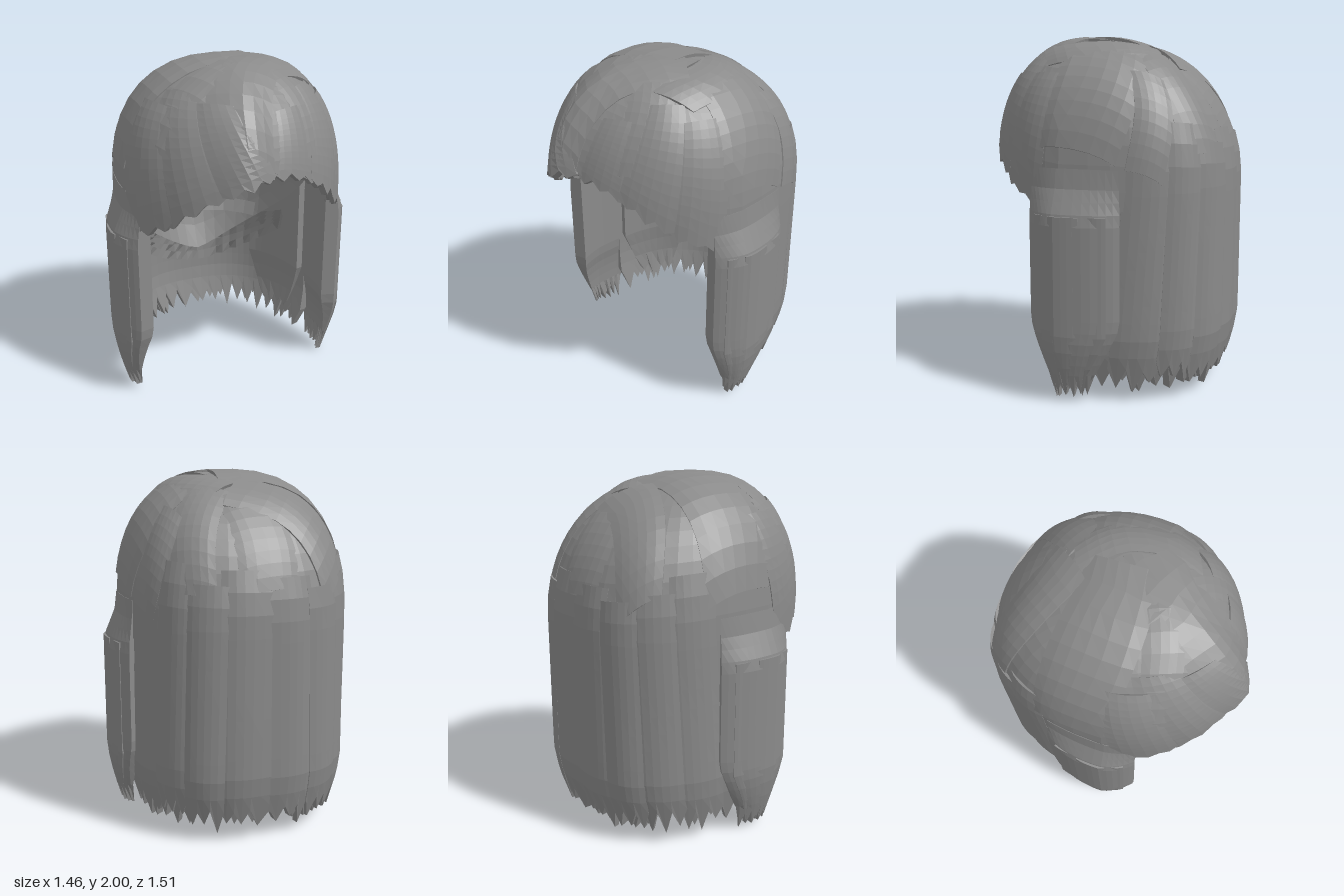
import * as THREE from 'three';

const hairMat = new THREE.MeshStandardMaterial({ color: 0x8a8a8a });
hairMat.name = 'hairGrey';
hairMat.side = THREE.DoubleSide;

const RAD = Math.PI / 180;
let seed = 7;
const rnd = () => (seed = (seed * 16807) % 2147483647) / 2147483647;
const lerp = (a, b, t) => a + (b - a) * t;
const clamp01 = (x) => Math.min(1, Math.max(0, x));

// Hair envelope: a = degrees from the front toward +x, s = 0 crown, 1 temple, 2 floor
function surf(a, s, off) {
  let c = Math.cos(a * RAD), sn = Math.sin(a * RAD);
  const t = Math.min(s, 1) * Math.PI / 2;
  const e = c > 0 ? 0.8 + 0.04 * c : 0.8 + 0.15 * c * c;
  const r = Math.pow(Math.sin(t), e), h = Math.pow(Math.max(Math.cos(t), 0), e);
  const y = s < 1 ? 1.2 + 0.8 * h * (1 + off) : 1.2 - (s - 1) * 1.2;
  const k = r * (1 + off) * (y < 0.4 ? 1 - 0.12 * Math.pow((0.4 - y) / 0.4, 1.5) : 1);
  // Fuller plan at the back, an off-centre peak at the front
  if (c < 0) {
    c = -Math.pow(-c, 0.8);
    sn = Math.sign(sn) * Math.pow(Math.abs(sn), 0.8);
  }
  const b = ((((a + 180) % 360) + 360) % 360) - 164;
  const front = 0.64 - 0.04 * Math.sin((2 * a + 20) * RAD) + 0.05 * Math.exp(-((b / 12) ** 2));
  return [0.655 * sn * k * (1 - 0.12 * Math.max(c, 0)), y, 0.1 + (c > 0 ? front : 0.85) * c * k];
}

// Envelope position s for a height y
const sAt = (y) => (y > 1.2 ? Math.acos(Math.pow((y - 1.2) / 0.8, 1.2)) / (Math.PI / 2) : 1 + (1.2 - y) / 1.2);
// Cut line of the fringe, sweeping down to the temples
const fringe = (a) => sAt(1.09 + 0.42 * Math.pow(Math.max(Math.cos(a * RAD), 0), 1.8));

function flatMesh(name, pos, idx) {
  let g = new THREE.BufferGeometry();
  g.setAttribute('position', new THREE.Float32BufferAttribute(pos, 3));
  g.setIndex(idx);
  g = g.toNonIndexed();
  g.computeVertexNormals();
  const m = new THREE.Mesh(g, hairMat);
  m.name = name;
  return m;
}

// Closed slab of hair: at(u, t) gives [a, s]; outer and inner give the two skins
function slab(name, { n, rows, at, outer, inner, jag = 0 }) {
  const pos = [], idx = [], m = 2 * (n + 1), e = rows * m;
  const spikes = Array.from({ length: n + 1 }, (_, i) => (i % 2 ? 1 : -0.3) * jag * (0.35 + 0.65 * rnd()));
  for (let v = 0; v <= rows; v++) {
    for (let j = 0; j < m; j++) {
      const i = j <= n ? j : m - 1 - j, u = (i / n) * 2 - 1, t = v / rows;
      const [a, s] = at(u, t);
      pos.push(...surf(a, s + (v === rows ? spikes[i] : 0), (j <= n ? outer : inner)(u, t)));
    }
  }
  for (let v = 0; v < rows; v++) {
    for (let j = 0; j < m; j++) {
      const a = v * m + j, b = v * m + (j + 1) % m;
      idx.push(a, a + m, b + m, a, b + m, b);
    }
  }
  for (let i = 0; i < n; i++) {
    const p = m - 1 - i;
    idx.push(i, i + 1, p - 1, i, p - 1, p);
    idx.push(e + i, e + p, e + p - 1, e + i, e + p - 1, e + i + 1);
  }
  return flatMesh(name, pos, idx);
}

// Hanging lock, drifting from angle a0 at its root to a1 at its end
const lock = (name, a0, a1, w, s0, hem, height, jag, n) => slab(name, {
  n, rows: 12, jag,
  at: (u, t) => {
    const a = lerp(a0, a1, t) + u * w;
    return [a, lerp(s0, hem(a), t)];
  },
  outer: (u) => height - 0.016 * u * u,
  inner: () => -0.05,
});

// Swept lock laid across the crown between two plan points, bowed sideways
const sweep = ([x0, z0, x1, z1, w, bow, height]) => slab('sweptLock', {
  n: 6, rows: 9,
  at: (u, t) => {
    const dx = x1 - x0, dz = z1 - z0, len = Math.hypot(dx, dz);
    const q = u * w * (0.75 + 0.25 * t) + bow * Math.sin(t * Math.PI);
    const x = x0 + dx * t + (dz / len) * q, z = z0 + dz * t - (dx / len) * q;
    return [Math.atan2(x, z) / RAD, Math.hypot(x, z)];
  },
  outer: (u) => height - 0.014 * u * u,
  inner: () => -0.06,
});

// Scalp surface: q = radians from the back toward +x
const scalp = (q, y, k) => {
  const f = k * (y < 1.15 ? 1 - 0.22 * ((1.15 - y) / 0.57) ** 2 : Math.sqrt(Math.max(0, 1 - ((y - 1.15) / 0.7) ** 2)));
  return [0.5 * Math.sin(q) * f, y, -0.02 - (Math.cos(q) > 0 ? 0.63 : 0.6) * Math.cos(q) * f];
};

export function createModel() {
  const root = new THREE.Group();
  root.name = 'longHair';

  // Rounded crown with the fringe opening
  root.add(slab('crown', {
    n: 48, rows: 14, jag: 0.02,
    at: (u, t) => [u * 180, t * fringe(u * 180)], outer: () => -0.012, inner: () => -0.1,
  }));

  // Fringe locks: root angle, end angle, half width, root s, height
  [[-34, -14, 15, 0.45, 0.012], [-62, -42, 17, 0.4, 0.004], [-80, -68, 15, 0.5, 0.01],
    [22, 16, 15, 0.5, 0], [52, 40, 14, 0.4, 0.01], [72, 65, 14, 0.5, 0.004]]
    .forEach(([a0, a1, w, s0, h]) => root.add(lock('fringeLock', a0, a1, w, s0, (a) => fringe(a) + 0.012, h, 0.03, 6)));

  // Swept crown locks: start x z, end x z, half width, bow, height
  [[0.08, -0.1, -0.85, -0.18, 0.19, 0.05, 0.01], [0.15, 0, -0.75, 0.3, 0.13, 0.06, 0.004],
    [0.16, 0, -0.2, 0.72, 0.22, -0.08, 0.008], [0.08, -0.3, 0.3, 0.2, 0.13, 0.08, 0.008],
    [0.12, 0.15, 0.4, 0.65, 0.16, 0.05, 0], [0.25, -0.1, 0.88, -0.05, 0.22, 0.04, 0.006],
    [0.06, -0.32, -0.5, -0.72, 0.17, 0.05, 0.012], [0.16, -0.28, 0.45, -0.75, 0.17, -0.05, 0.004],
    [0.05, -0.35, 0, -0.85, 0.16, 0.03, 0], [0.4, -0.3, 0.85, -0.45, 0.13, 0.04, 0.01]]
    .forEach((p) => root.add(sweep(p)));

  // Back curtain with a ragged hem
  root.add(slab('backCurtain', {
    n: 40, rows: 14, jag: 0.11,
    at: (u, t) => [180 + u * 82, lerp(0.85, 1.84, t)], outer: () => -0.02, inner: () => -0.1,
  }));
  for (let i = 0; i < 8; i++) {
    const a = 115 + i * 18.6, hem = 1.82 + rnd() * 0.04;
    root.add(lock('backLock', lerp(a, 180, 0.1), a, 9 + rnd() * 3, 0.75 + rnd() * 0.12,
      () => hem, rnd() * 0.014, 0.1, 6));
  }

  // Thick side locks, tapering to ragged tips
  for (const side of [1, -1]) {
    const end = (t) => clamp01((t - 0.7) / 0.3);
    const taper = (t) => lerp(1, 0.4, end(t));
    const swell = (t) => clamp01((t - 0.03) / 0.16);
    root.add(slab(side > 0 ? 'leftSideLock' : 'rightSideLock', {
      n: 14, rows: 18, jag: 0.085,
      at: (u, t) => [side * 91 + u * 17 * taper(t), lerp(0.95, 1.912, t)],
      outer: (u, t) => lerp(-0.01, 0.115 - 0.085 * u * u, swell(t)),
      inner: (u, t) => lerp(-0.1, 0.03, end(t)),
    }));
    // Finer strands lying on the side lock
    for (const d of [-8, 0, 8]) {
      root.add(slab('sideStrand', {
        n: 6, rows: 10, jag: 0.07,
        at: (u, t) => [side * 91 + (d + u * 4) * taper(t), lerp(1.12, 1.9, t)],
        outer: (u) => 0.118 - Math.abs(d) * 0.0035 - 0.012 * u * u,
        inner: () => 0.05,
      }));
    }
    // Inner lock lining the side of the back curtain
    root.add(slab('innerSideLock', {
      n: 8, rows: 10, jag: 0.06,
      at: (u, t) => [side * 121 + u * 21 * lerp(1, 0.55, end(t)), lerp(0.95, 1.83, t)],
      outer: () => -0.09,
      inner: (u, t) => lerp(-0.17, -0.11, end(t)),
    }));
  }

  // Smooth scalp cap, open at the face, with a pointed nape
  const pos = [], idx = [], N = 40, M = 14;
  for (let v = 0; v <= M; v++) {
    for (let i = 0; i <= N; i++) {
      const q = ((i / N) * 2 - 1) * Math.PI;
      const edge = Math.min(1.5, 0.58 + 0.45 * Math.pow(Math.abs(q) / 1.4, 1.5));
      pos.push(...scalp(q, lerp(1.85, edge, (v / M) ** 1.6), 1));
      if (v < M && i < N) {
        const a = v * (N + 1) + i, b = a + N + 1;
        idx.push(a, b, b + 1, a, b + 1, a + 1);
      }
    }
  }
  root.add(flatMesh('scalpCap', pos, idx));

  // Ragged strip between two heights and two scalp scales
  const strip = (name, K, q0, q1, low, high, kLow, kHigh, rag) => {
    const p = [], f = [];
    for (let i = 0; i <= K; i++) {
      const q = lerp(q0, q1, i / K);
      p.push(...scalp(q, high(q), kHigh), ...scalp(q, low(q), kLow + (i % 2) * rag * rnd()));
      if (i < K) f.push(2 * i, 2 * i + 2, 2 * i + 1, 2 * i + 1, 2 * i + 2, 2 * i + 3);
    }
    root.add(flatMesh(name, p, f));
  };
  // Shelves of short hair fanned out behind the nape
  for (let tier = 0; tier < 5; tier++) {
    const low = (q) => 0.5 + tier * 0.05 + (0.17 - tier * 0.02) * q * q;
    strip('napeShelf', 24, -1.3, 1.3, low, (q) => low(q) + 0.06, 1.06, 1.005, 0.1);
  }
  // Loose root ends showing through the scalp
  [[-0.9, 0.9, 0.82, 0.08], [-0.45, -0.15, 1.06, 0.03], [0, 0.6, 1.02, 0.03]]
    .forEach(([q0, q1, y, h]) => strip('rootEnds', 12, q0, q1, () => y, () => y + h, 0.95, 0.99, 0.03));

  // Stand on the floor, centred
  const box = new THREE.Box3().setFromObject(root), mid = box.getCenter(new THREE.Vector3());
  root.position.set(-mid.x, -box.min.y, -mid.z);
  return root;
}
